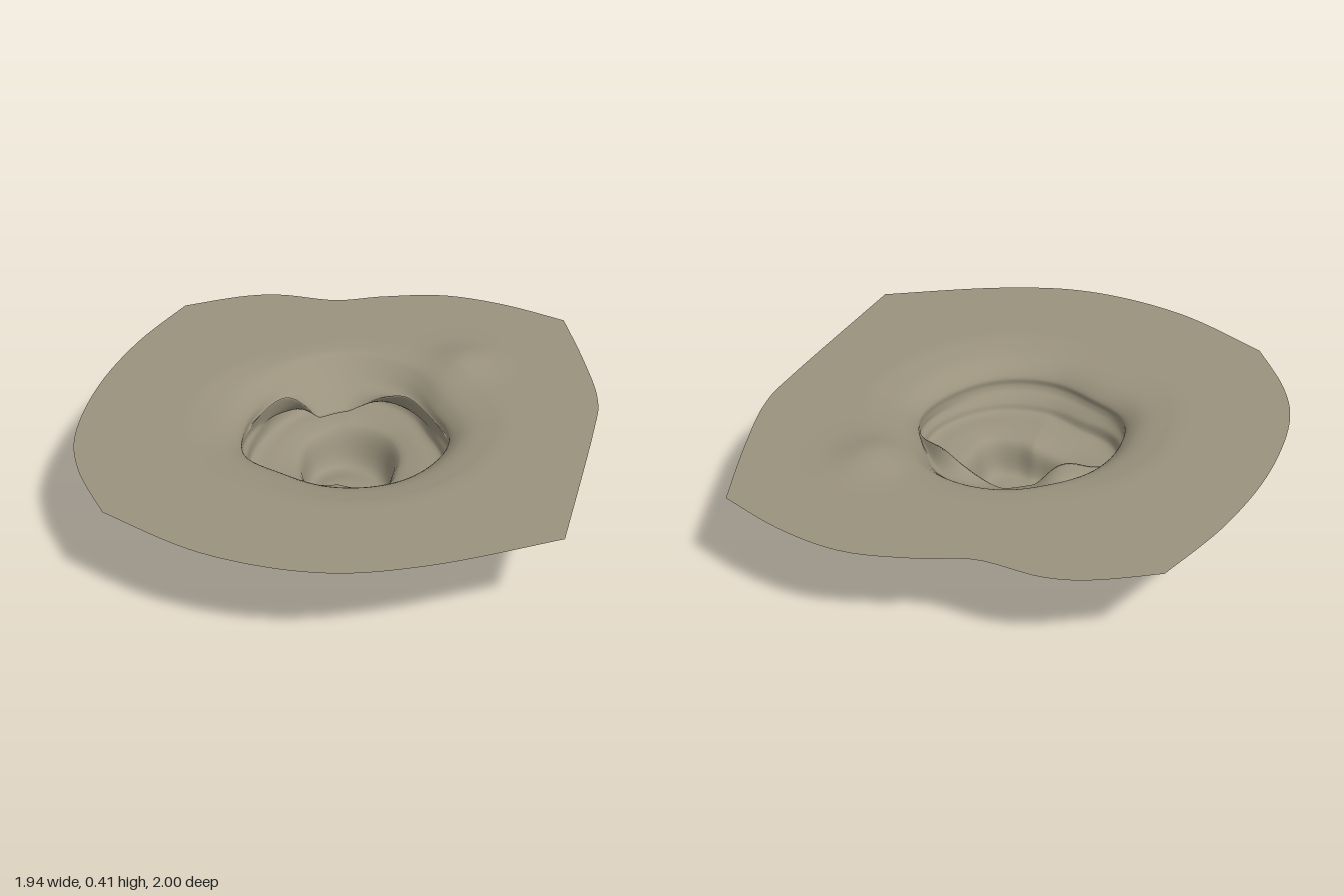
import * as THREE from 'three';

// Plan radii every 30 degrees, from +x towards +z
const WALL = [.41, .40, .40, .385, .36, .39, .37, .375, .42, .46, .45, .395];
const PIT = [.21, .21, .16, .12, .125, .15, .16, .19, .25, .29, .28, .24];
// How far the back shelf overhangs the hollow
const OVERHANG = [0, 0, 0, 0, 0, 0, 0, .04, .17, .18, .13, .04];

// Outer edge, as smooth runs between the sharp corners
const EDGE = [
  [[.85, -.82], [.92, -.5], [.965, -.2], [.94, .05], [.82, .74]],
  [[.82, .74], [.37, .93], [0, 1], [-.4, .92], [-.77, .71]],
  [[-.77, .71], [-.91, .45], [-.97, .2], [-.95, -.15], [-.86, -.5], [-.72, -.82]],
  [[-.72, -.82], [-.5, -.92], [-.33, -.95], [-.1, -.92], [.1, -.97], [.35, -1], [.6, -.94], [.85, -.82]],
];

// Smooth periodic value at an angle
function around(list, angle) {
  const n = list.length;
  const f = ((angle / (Math.PI * 2)) * n + n) % n;
  const i = Math.floor(f), t = f - i;
  const [a, b, c, d] = [-1, 0, 1, 2].map((k) => list[(i + k + n) % n]);
  return b + 0.5 * t * (c - a + t * (2 * a - 5 * b + 4 * c - d + t * (3 * (b - c) + d - a)));
}

// Cross-section of the hollow at an angle, from the flat ground to the pit centre
function section(angle) {
  const wall = around(WALL, angle), pit = around(PIT, angle);
  const over = Math.max(0, around(OVERHANG, angle));
  const back = Math.min(1, over / .18);
  const front = Math.max(0, Math.sin(angle)) ** 2;
  const left = Math.max(0, -Math.cos(angle));
  const foot = wall - .025 - .045 * front;
  const profile = [
    [wall + .2 - .08 * back, .38],                            // edge of the flat
    [wall + .06 - .02 * back, .35 + .02 * back],              // shoulder
    [wall, .30 + .04 * back],                                 // wall top
    [wall - .45 * over, .27 + .01 * back],                    // back shelf
    [wall - over - .01 * front, .25 + .36 * back * (1 - back) - .025 * back], // lip
    [wall - .5 * over - .03 * front, .235],                   // under the lip
    [wall - .015 - .04 * front, .21 + .025 * back],           // cave wall
    [foot, .183 - .025 * left],                               // wall foot
    [foot * .45 + pit * .55, .17 - .03 * left],               // ledge
    [pit, .145 - .03 * left],                                 // pit edge
    [pit * .78, .018 + .015 * Math.sin(angle)],               // pit foot
    [pit * .4, .012],                                         // pit floor
    [0, .01],
  ];
  return profile.map(([r, y]) => new THREE.Vector3(r * Math.cos(angle), y, r * Math.sin(angle)));
}

// Low mound beside the hollow
const mound = (x, z) => 0.032 * Math.exp(-(((x - .45) ** 2) / .012 + ((z + .44) ** 2) / .016));

export function createModel() {
  const group = new THREE.Group();
  const ground = new THREE.MeshStandardMaterial({ color: 0x9a927d, side: THREE.DoubleSide });
  ground.name = 'sandy ground';

  const edge = EDGE.flatMap((run) =>
    new THREE.SplineCurve(run.map((p) => new THREE.Vector2(...p))).getPoints(36).slice(0, -1));

  // Each spoke runs from the outer edge over the flat and down to the pit centre
  const FLAT = 10, STEPS = 60, ROW = FLAT + STEPS + 1;
  const positions = [], index = [];
  edge.forEach((p) => {
    const spoke = new THREE.CatmullRomCurve3(section(Math.atan2(p.y, p.x)));
    const start = spoke.getPoint(0);
    for (let j = 0; j < ROW; j++) {
      const v = j < FLAT
        ? new THREE.Vector3(p.x, .38, p.y).lerp(start, j / FLAT)
        : spoke.getPoint((j - FLAT) / STEPS);
      positions.push(v.x, Math.max(0, v.y + mound(v.x, v.z)), v.z);
    }
  });
  for (let i = 0; i < edge.length; i++) {
    const a = i * ROW, b = ((i + 1) % edge.length) * ROW;
    for (let j = 0; j < ROW - 1; j++) {
      index.push(a + j, a + j + 1, b + j);
      if (j < ROW - 2) index.push(b + j, a + j + 1, b + j + 1);
    }
  }
  const geometry = new THREE.BufferGeometry();
  geometry.setAttribute('position', new THREE.Float32BufferAttribute(positions, 3));
  geometry.setIndex(index);
  geometry.computeVertexNormals();

  const crater = new THREE.Mesh(geometry, ground);
  crater.name = 'craterGround';
  group.add(crater);
  return group;
}
